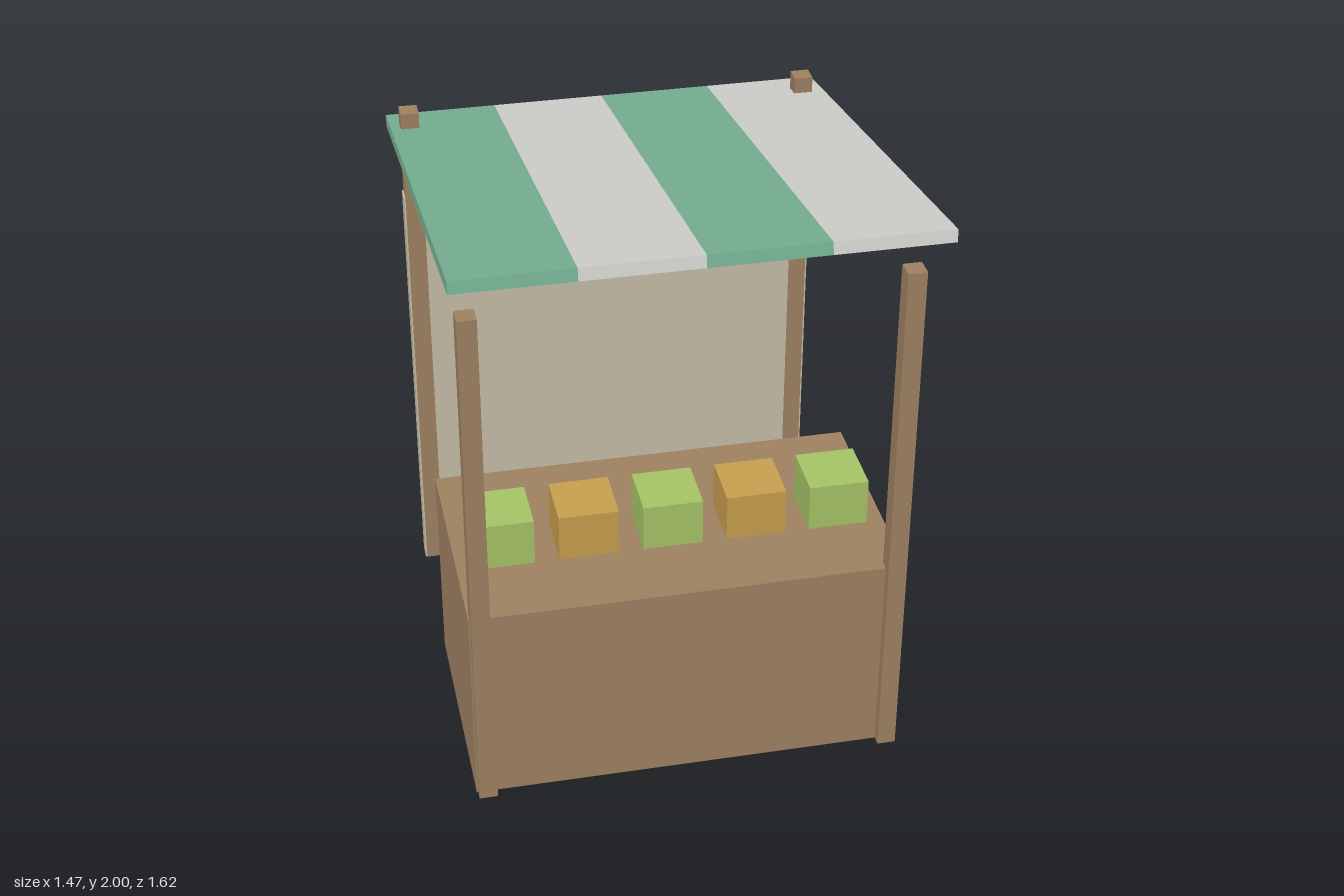
import * as THREE from 'three';

const mat = (name, color) => {
  const m = new THREE.MeshStandardMaterial({ color });
  m.name = name;
  return m;
};

export function createModel() {
  const wood = mat('wood', 0xa08262);
  const canvas = mat('canvas', 0xc8bfa9);
  const green = mat('awningGreen', 0x78b496);
  const white = mat('awningWhite', 0xd4d4d0);
  const lime = mat('crateLime', 0xa6c466);
  const amber = mat('crateAmber', 0xc8a04f);

  const stall = new THREE.Group();
  stall.name = 'marketStall';

  const box = (parent, name, material, size, pos) => {
    const mesh = new THREE.Mesh(new THREE.BoxGeometry(...size), material);
    mesh.name = name;
    mesh.position.set(...pos);
    parent.add(mesh);
    return mesh;
  };

  // The frame sits a touch off the awning's centre line
  const cx = -0.005;

  // Counter and back panel
  box(stall, 'counter', wood, [1.4, 0.704, 0.777], [cx, 0.352, 0.274]);
  box(stall, 'backPanel', canvas, [1.4, 1.49, 0.06], [cx, 0.745, -0.663]);

  // Corner posts, a hair proud of the panel
  for (const [side, sx] of [['Left', 1], ['Right', -1]]) {
    for (const [end, sz] of [['front', 1], ['back', -1]]) {
      box(stall, `${end}${side}Post`, wood, [0.06, 1.8, 0.062], [cx + sx * 0.665, 0.9, sz * 0.663]);
    }
  }

  // Row of produce crates
  for (let i = 0; i < 5; i++) {
    box(stall, `crate${i + 1}`, i % 2 ? amber : lime, [0.194, 0.16, 0.194],
      [cx + (i - 2) * 0.273, 0.784, 0.312]);
  }

  // Striped awning, raised at the front
  const awning = new THREE.Group();
  awning.name = 'awning';
  awning.position.y = 1.8375;
  awning.rotation.x = -THREE.MathUtils.degToRad(10);
  const stripe = 1.466 / 4;
  for (let i = 0; i < 4; i++) {
    box(awning, `awningStripe${i + 1}`, i % 2 ? white : green, [stripe, 0.04, 1.638],
      [(i - 1.5) * stripe, 0, 0]);
  }
  stall.add(awning);

  return stall;
}
